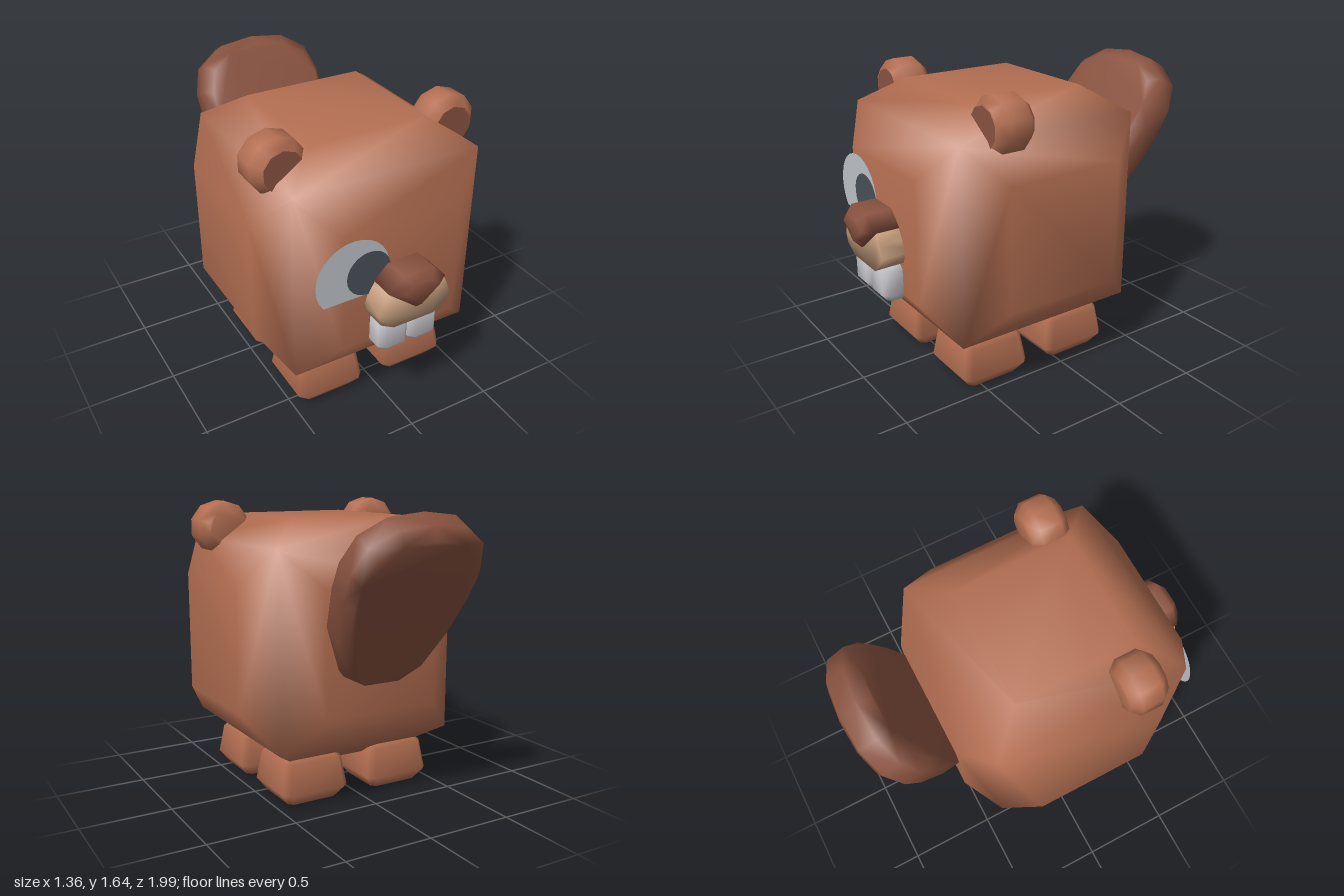
import * as THREE from 'three';
import { mergeVertices } from 'three/addons/utils/BufferGeometryUtils.js';
import { ConvexGeometry } from 'three/addons/geometries/ConvexGeometry.js';

const paint = (name, color, side = THREE.FrontSide) => {
  const m = new THREE.MeshStandardMaterial({ color, side });
  m.name = name;
  return m;
};

// Smooth-shaded convex solid around a set of points
function hull(points) {
  let g = new ConvexGeometry(points);
  g.deleteAttribute('normal');
  g.deleteAttribute('uv');
  g = mergeVertices(g, 1e-4);
  g.computeVertexNormals();
  return g;
}

// Convex outline stacked along z; each layer is [z, scale]
const stack = (outline, layers) => hull(layers.flatMap(([z, s]) =>
  outline.map(([x, y]) => new THREE.Vector3(x * s, y * s, z))));

// Square outline with cut corners
function cutSquare(h, cut) {
  const k = h - cut;
  return [[h, k], [k, h], [-k, h], [-h, k], [-h, -k], [-k, -h], [k, -h], [h, -k]];
}

const mirrored = (half) => [...half, ...half.map(([x, y]) => [-x, y])
  .filter(([x]) => Math.abs(x) > 1e-6)];

export function createModel() {
  const fur = paint('fur brown', 0xb46f52);
  const dark = paint('dark brown', 0x8a5340);
  const tan = paint('muzzle tan', 0xc69e7e);
  const ivory = paint('tooth white', 0xc6c5ca);
  const eyeWhite = paint('eye white', 0xbec2c8, THREE.DoubleSide);
  const pupilDark = paint('pupil dark', 0x485059, THREE.DoubleSide);

  const model = new THREE.Group();
  model.name = 'beaver';
  const add = (name, geometry, material, x = 0, y = 0, z = 0) => {
    const mesh = new THREE.Mesh(geometry, material);
    mesh.name = name;
    mesh.position.set(x, y, z);
    model.add(mesh);
    return mesh;
  };

  // Body: a cube with a raised square panel on every face
  const bodyPoints = [];
  for (const a of [-1, 1]) for (const b of [-1, 1]) for (const c of [-1, 1]) {
    bodyPoints.push(
      new THREE.Vector3(a * 0.54, b * 0.54, c * 0.54),
      new THREE.Vector3(a * 0.68, b * 0.34, c * 0.34),
      new THREE.Vector3(a * 0.34, b * 0.68, c * 0.34),
      new THREE.Vector3(a * 0.34, b * 0.34, c * 0.68));
  }
  add('body', hull(bodyPoints), fur, 0, 0.88, 0.135);

  // Feet, ears and front teeth in mirrored pairs
  const foot = stack(cutSquare(0.202, 0.035),
    [[0, 0.75], [0.07, 1], [0.235, 0.87], [0.27, 0.73]]).rotateX(-Math.PI / 2);
  const tooth = stack(cutSquare(0.09, 0.035),
    [[0.5, 0.55], [0.55, 1], [0.69, 1], [0.72, 0.55]]).rotateX(-Math.PI / 2);
  const ring = Array.from({ length: 10 }, (_, i) => {
    const t = (i / 10) * Math.PI * 2 + Math.PI / 10;
    return [0.16 * Math.cos(t), 0.152 * Math.sin(t)];
  });
  const ear = stack(ring, [[-0.11, 0.7], [-0.06, 1], [0.06, 1], [0.11, 0.7]]);
  const innerEar = new THREE.CircleGeometry(0.112, 10, Math.PI / 10);
  for (const [side, s] of [['left', 1], ['right', -1]]) {
    add(side + 'FrontFoot', foot, fur, s * 0.272, 0, 0.41);
    add(side + 'BackFoot', foot, fur, s * 0.272, 0, -0.135);
    add(side + 'Ear', ear, fur, s * 0.503, 1.485, 0.4);
    add(side + 'InnerEar', innerEar, dark, s * 0.495, 1.475, 0.513);
    add(side + 'Tooth', tooth, ivory, s * 0.09, 0, 0.835);
  }

  // Muzzle and nose
  add('muzzle', stack(
    mirrored([[0.16, 0.92], [0.195, 0.86], [0.215, 0.79], [0.2, 0.735], [0.12, 0.69]]),
    [[0.7, 1], [0.943, 1]]), tan);
  add('nose', stack(
    mirrored([[0.09, 0.09], [0.168, 0.01], [0, -0.125]]),
    [[-0.2, 1], [0.045, 1], [0.09, 0.62]]), dark, 0, 0.91, 0.91);

  // Flat winking eye, trimmed straight along the bottom
  const trim = 0.668;
  const eyeShape = new THREE.Shape();
  eyeShape.absarc(0, 0, 0.212, -trim, Math.PI + trim, false);
  add('rightEye', new THREE.ShapeGeometry(eyeShape, 10), eyeWhite, -0.288, 0.98, 0.817);
  add('rightPupil', new THREE.CircleGeometry(0.127, 24), pupilDark, -0.199, 0.977, 0.821);

  // Paddle tail leaning up and back
  const tail = add('tail', stack(
    mirrored([[0, 0.52], [0.2, 0.495], [0.34, 0.4], [0.39, 0.25], [0.385, 0.1],
      [0.34, -0.15], [0.25, -0.4], [0.1, -0.52]]),
    [[-0.122, 0.88], [-0.07, 1], [0.045, 1], [0.1, 0.88]]), dark, 0, 1.143, -0.66);
  tail.rotation.x = -Math.PI / 6;

  return model;
}
